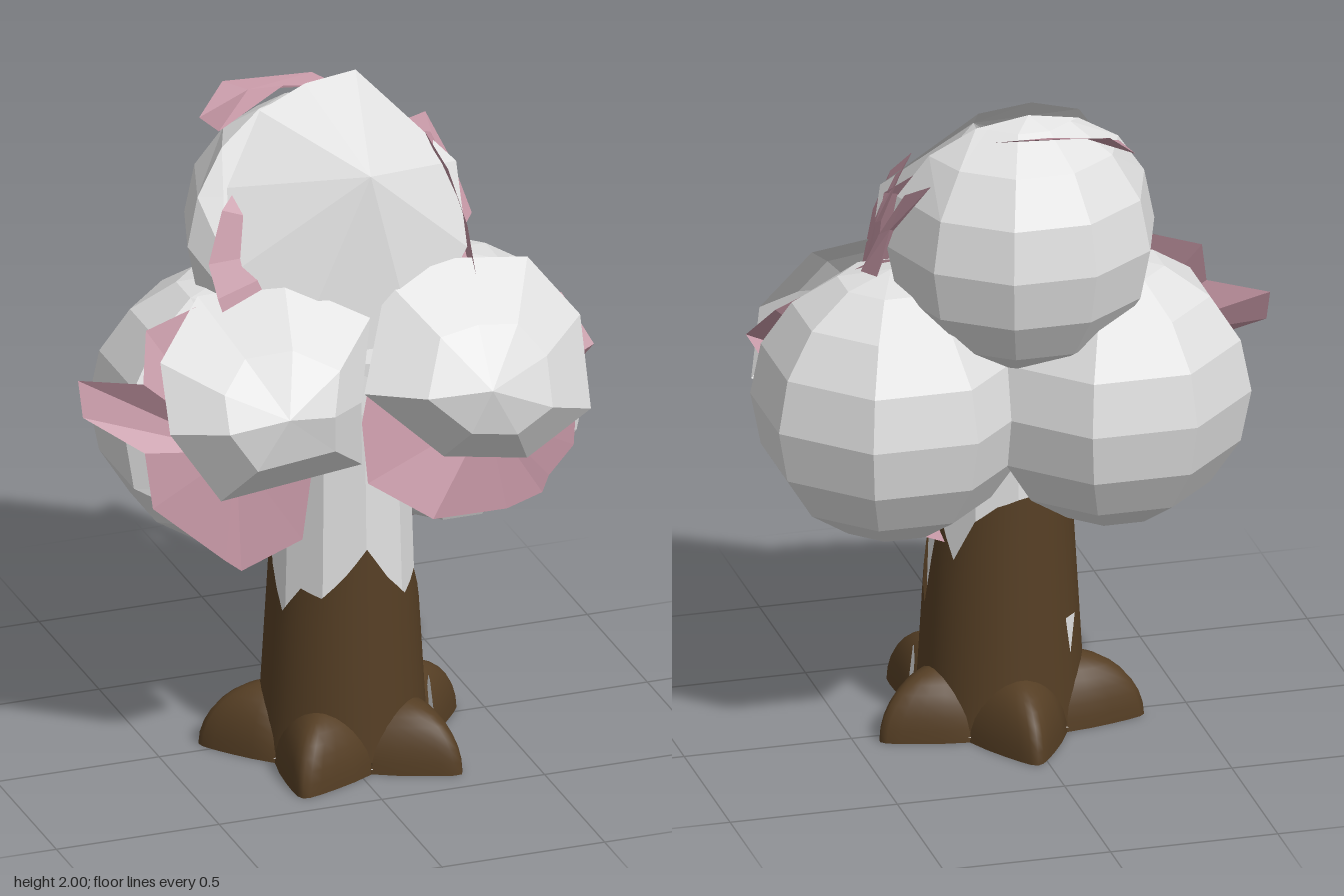
import * as THREE from 'three';

export function createModel() {
  const model = new THREE.Group();
  const mat = (name, color, flatShading) =>
    new THREE.MeshStandardMaterial({ name, color, flatShading, side: THREE.DoubleSide });
  const white = mat('paleGrey', 0xe0e0e0, true);
  const pink = mat('dustyPink', 0xc294a2, true);
  const brown = mat('barkBrown', 0x553e24, false);

  const add = (name, geometry, material, parent = model) => {
    const mesh = new THREE.Mesh(geometry, material);
    mesh.name = name;
    parent.add(mesh);
    return mesh;
  };

  // Faceted patch: an outline joined to an apex, with a raised ring halfway if bulge is set
  const patch = (outline, apex, bulge = 0) => {
    const tip = new THREE.Vector3(...apex);
    const ring = outline.map((p) => new THREE.Vector3(...p));
    const mid = ring.map((p) => p.clone().lerp(tip, 0.45).add(new THREE.Vector3(0, 0, bulge)));
    const points = [];
    ring.forEach((p, i) => {
      const j = (i + 1) % ring.length;
      if (bulge) points.push(p, mid[i], ring[j], ring[j], mid[i], mid[j], mid[i], tip, mid[j]);
      else points.push(p, tip, ring[j]);
    });
    const g = new THREE.BufferGeometry().setFromPoints(points);
    g.computeVertexNormals();
    return g;
  };

  // Crown balls, cut off at the front by a plane that may lean back
  const ball = (name, radius, sides, turn, x, y, z, cut, lean) => {
    const g = new THREE.SphereGeometry(radius, sides, 8).rotateY(turn).translate(x, y, z);
    const p = g.attributes.position;
    for (let i = 0; i < p.count; i++) {
      p.setZ(i, Math.min(p.getZ(i), cut - (p.getY(i) - y) * lean));
    }
    add(name, g, white);
  };
  ball('rightCrownBall', 0.41, 8, Math.PI / 8, -0.255, 1.06, -0.07, 0.16, 0);
  ball('leftCrownBall', 0.41, 8, Math.PI / 8, 0.385, 1.06, -0.015, 0.17, 0);
  ball('topCrownBall', 0.4, 10, 0, 0.015, 1.57, -0.075, 0.02, 0.45);

  // Pale caps in front of the balls
  add('topCap', patch([
    [0, 2, -0.14], [0.17, 2, -0.18], [0.42, 1.74, -0.02], [0.41, 1.52, 0.1], [0.21, 1.29, 0.2],
    [-0.16, 1.29, 0.19], [-0.31, 1.53, 0.07], [-0.28, 1.76, -0.03], [-0.15, 1.95, -0.11],
  ], [0.09, 1.82, 0.165]), white);
  add('rightCap', patch([
    [-0.57, 1.35, 0.2], [-0.4, 1.47, 0.05], [-0.16, 1.51, 0.12], [0.06, 1.41, 0.24],
    [0, 1.19, 0.33], [0.02, 0.97, 0.28], [-0.42, 0.93, 0.3], [-0.58, 1.17, 0.31],
  ], [-0.26, 1.22, 0.44], 0.05), white);
  add('leftCap', patch([
    [0.14, 1.48, 0.16], [0.36, 1.51, 0.14], [0.58, 1.48, 0.14], [0.72, 1.3, 0.2], [0.72, 1.04, 0.29],
    [0.52, 0.92, 0.3], [0.26, 0.97, 0.31], [0.02, 1.2, 0.3],
  ], [0.36, 1.22, 0.45], 0.05), white);

  // Ragged pink leaf layers between caps and balls, leaning back at the top
  add('rightLeafLayer', patch([
    [-0.76, 1.25, 0.03], [-0.76, 1.15, 0.07], [-0.61, 1.06, 0.18], [-0.6, 0.9, 0.22], [-0.4, 0.73, 0.28],
    [-0.35, 0.69, 0.28], [-0.17, 0.77, 0.3], [-0.13, 1, 0.28], [-0.2, 1.4, 0.18],
    [-0.42, 1.45, 0.08], [-0.57, 1.4, 0.08], [-0.6, 1.26, 0.14],
  ], [-0.35, 1.05, 0.235]), pink);
  add('leftLeafLayer', patch([
    [0.02, 1.1, 0.28], [0.02, 0.93, 0.33], [0.21, 0.8, 0.36], [0.48, 0.74, 0.24],
    [0.6, 0.76, 0.21], [0.62, 0.81, 0.21], [0.7, 0.89, 0.2], [0.72, 1.15, 0.19],
    [0.755, 1.21, 0.22], [0.7, 1.33, 0.1], [0.42, 1.47, 0.06], [0.12, 1.4, 0.18],
  ], [0.42, 1.05, 0.24]), pink);
  add('underLeaf', patch([
    [0.24, 0.62, -0.07], [0.46, 0.67, 0.04], [0.48, 0.76, 0.19], [0.27, 0.76, 0.19],
  ], [0.36, 0.69, 0.1]), pink);
  add('topLeafLayer', patch([
    [-0.37, 1.57, 0.06], [-0.31, 1.71, 0.01], [-0.2, 1.8, -0.06], [0.3, 1.78, -0.04],
    [0.4, 1.7, 0.01], [0.41, 1.35, 0.17], [-0.33, 1.35, 0.16], [-0.36, 1.48, 0.11],
  ], [0.04, 1.6, 0.09]), pink);
  add('topSideLeaf', patch([
    [0.33, 1.84, -0.04], [0.37, 1.75, 0.05], [0.4, 1.6, 0.13], [0.41, 1.27, 0.28],
    [0.42, 1.45, 0.1], [0.45, 1.48, -0.07], [0.43, 1.65, -0.07], [0.36, 1.82, -0.07],
  ], [0.42, 1.6, 0.03]), pink);
  add('topLeafStrip', patch([
    [-0.27, 1.87, -0.29], [-0.18, 1.95, -0.34], [0.08, 1.955, -0.3], [0.14, 1.93, -0.24],
    [-0.02, 1.94, -0.27], [-0.25, 1.87, -0.18],
  ], [-0.12, 1.935, -0.29]), pink);
  add('sideLeafStrip', patch([
    [0.32, 1.8, -0.21], [0.41, 1.8, -0.25], [0.47, 1.66, -0.19], [0.505, 1.52, -0.12], [0.44, 1.47, -0.06],
    [0.41, 1.64, -0.13],
  ], [0.43, 1.66, -0.165]), pink);

  // Trunk core
  const trunk = new THREE.Group();
  trunk.name = 'trunk';
  trunk.position.set(0.033, 0, 0.08);
  model.add(trunk);
  add('trunkCore', new THREE.CylinderGeometry(0.19, 0.222, 1.06, 10, 1, true).translate(0, 0.59, 0), white, trunk);

  // Bark sleeve with a jagged upper edge, one height per 18 degrees starting at the front
  const edge = [0.7, 0.6, 0.53, 0.58, 0.46, 0.37, 0.68, 0.55, 0.68, 0.73,
    0.75, 0.76, 0.74, 0.86, 0.72, 0.6, 0.48, 0.57, 0.55, 0.62];
  const bark = new THREE.CylinderGeometry(0.23, 0.23, 1, 40, 6, true);
  const bp = bark.attributes.position;
  for (let i = 0; i < bp.count; i++) {
    const t = (i % 41) / 2;
    const a = Math.floor(t);
    const top = THREE.MathUtils.lerp(edge[a % 20], edge[(a + 1) % 20], t - a);
    const y = 0.04 + (bp.getY(i) + 0.5) * (top - 0.04);
    const k = (0.248 - 0.058 * y) / 0.23;
    bp.setXYZ(i, bp.getX(i) * k, y, bp.getZ(i) * k);
  }
  bark.computeVertexNormals();
  add('bark', bark, brown, trunk);

  // Short branches under the crown
  for (const s of [-1, 1]) {
    const branch = add('branch', new THREE.CylinderGeometry(0.06, 0.07, 0.3, 10), brown, trunk);
    branch.position.set(s * 0.18, 0.85, -0.04);
    branch.rotation.z = -s * 0.6;
  }

  // Five pointed roots: smooth bark above, a faceted pale hollow below
  const rootShape = (sides, rings, size) => {
    const g = new THREE.SphereGeometry(1, sides, rings, 0, Math.PI * 2, 0, Math.PI / 2);
    const p = g.attributes.position;
    for (let i = 0; i < p.count; i++) {
      const u = p.getZ(i);
      const narrow = u > 0 ? 1 - 0.6 * u : 1;
      p.setXYZ(i, p.getX(i) * 0.145 * narrow * size, p.getY(i) * 0.195 * size + 0.005, u * 0.215 * size + 0.2);
    }
    g.computeVertexNormals();
    return g;
  };
  const rootTop = rootShape(20, 8, 1);
  const rootHollow = rootShape(6, 2, 0.97);
  for (let i = 0; i < 5; i++) {
    const root = new THREE.Group();
    root.name = 'root';
    root.rotation.y = Math.PI / 5 + (i * Math.PI * 2) / 5;
    trunk.add(root);
    add('rootTop', rootTop, brown, root);
    add('rootHollow', rootHollow, white, root);
  }
  add('trunkSole', new THREE.ConeGeometry(0.25, 0.08, 10, 1, true).translate(0, 0.06, 0), white, trunk);

  // Bare patches in the bark
  add('sideBarePatch', patch([
    [0.236, 0.2, 0.092], [0.239, 0.21, 0.07], [0.241, 0.17, 0.055], [0.247, 0.07, 0.06], [0.245, 0.1, 0.1],
  ], [0.244, 0.14, 0.075]), white, trunk);
  add('backBarePatch', patch([
    [-0.179, 0.36, -0.159], [-0.142, 0.36, -0.195], [-0.161, 0.24, -0.178],
  ], [-0.161, 0.32, -0.178]), white, trunk);

  return model;
}
